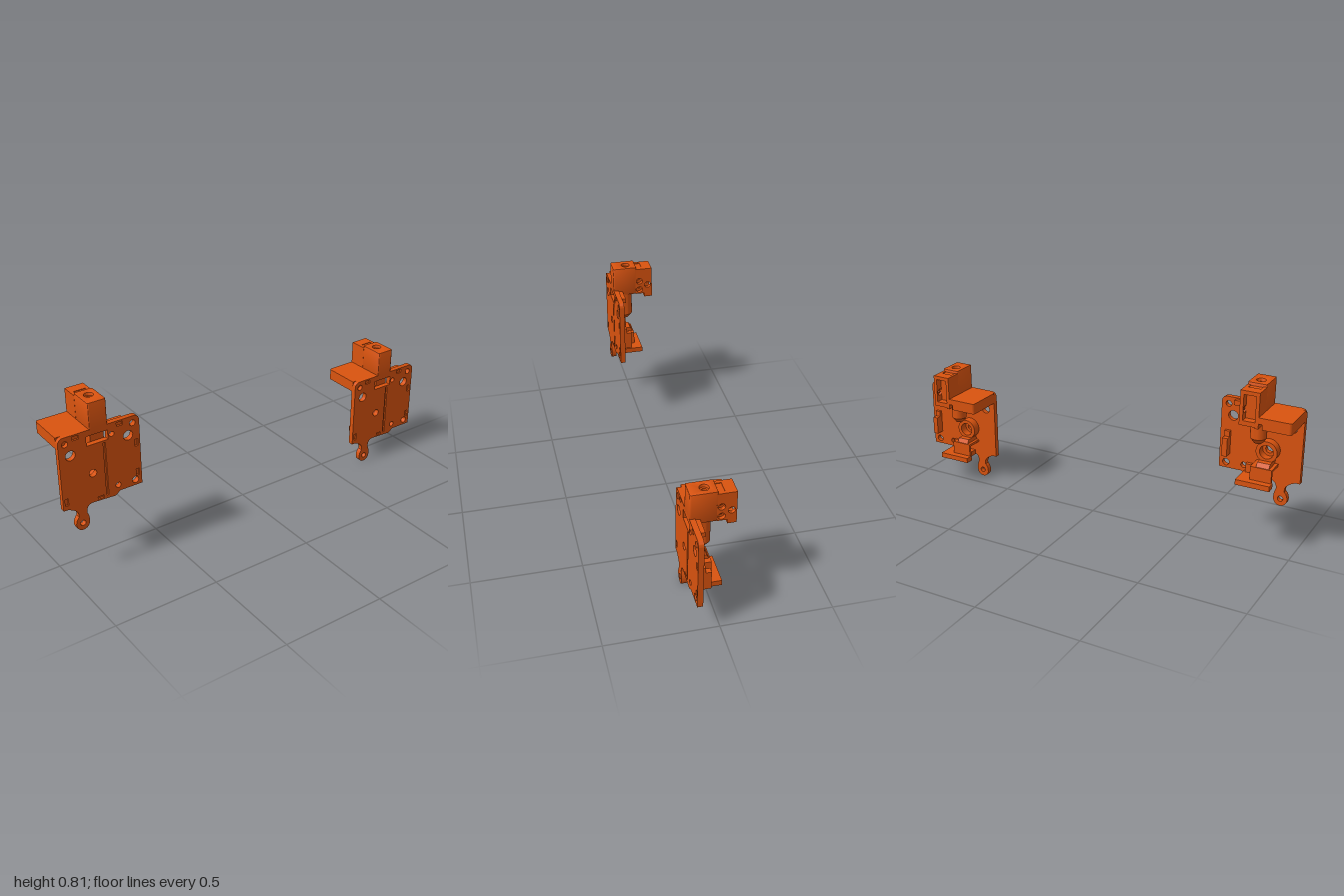
import * as THREE from 'three';
import { mergeVertices, toCreasedNormals } from 'three/addons/utils/BufferGeometryUtils.js';

const material = new THREE.MeshStandardMaterial({ color: 0xd9530f });

function add(group, name, geometry, x = 0, y = 0, z = 0) {
  const mesh = new THREE.Mesh(geometry, material);
  mesh.name = name;
  mesh.position.set(x, y, z);
  group.add(mesh);
  return mesh;
}

// box given by its limits
function box(group, name, x0, x1, y0, y1, z0, z1) {
  return add(group, name, new THREE.BoxGeometry(x1 - x0, y1 - y0, z1 - z0),
    (x0 + x1) / 2, (y0 + y1) / 2, (z0 + z1) / 2);
}

function trace(target, points) {
  target.setFromPoints(points.map(([x, y]) => new THREE.Vector2(x, y)));
  target.closePath();
  return target;
}
const circle = (x, y, r) => new THREE.Path().absarc(x, y, r, 0, Math.PI * 2, true);
const rect = (x0, x1, y0, y1) => trace(new THREE.Path(), [[x0, y0], [x0, y1], [x1, y1], [x1, y0]]);

function roundRect(x0, x1, y0, y1, r) {
  const s = new THREE.Shape();
  s.absarc(x1 - r, y0 + r, r, -Math.PI / 2, 0);
  s.absarc(x1 - r, y1 - r, r, 0, Math.PI / 2);
  s.absarc(x0 + r, y1 - r, r, Math.PI / 2, Math.PI);
  s.absarc(x0 + r, y0 + r, r, Math.PI, Math.PI * 1.5);
  s.closePath();
  return s;
}

function extrude(shape, depth, holes = [], bevel = 0) {
  shape.holes.push(...holes);
  const g = new THREE.ExtrudeGeometry(shape, {
    depth: depth - bevel * 2, curveSegments: 12, bevelEnabled: bevel > 0,
    bevelSize: bevel, bevelThickness: bevel, bevelOffset: -bevel, bevelSegments: 2,
  });
  g.translate(0, 0, bevel);
  return toCreasedNormals(g, 0.6);
}
// extrusion upward: the shape lies in (x, -z)
const extrudeUp = (...args) => extrude(...args).rotateX(-Math.PI / 2);
// extrusion along +x: the shape lies in (-z, y)
const extrudeSide = (...args) => extrude(...args).rotateY(Math.PI / 2);

function lathe(points, segments = 32) {
  const g = new THREE.LatheGeometry(points.map(([r, y]) => new THREE.Vector2(r, y)), segments);
  return toCreasedNormals(mergeVertices(g), 0.5);
}

function plateOutline() {
  const s = new THREE.Shape();
  s.moveTo(0, 0.125);
  s.lineTo(0.02, 0.125);
  s.quadraticCurveTo(0.075, 0.105, 0.068, 0.07);
  s.quadraticCurveTo(0.053, 0.055, 0.053, 0.032);
  s.absarc(0.085, 0.032, 0.032, Math.PI, Math.PI * 2);
  s.quadraticCurveTo(0.12, 0.055, 0.108, 0.08);
  s.quadraticCurveTo(0.108, 0.118, 0.14, 0.118);
  s.lineTo(0.25, 0.112);
  s.lineTo(0.275, 0.13);
  s.lineTo(0.385, 0.13);
  s.absarc(0.36, 0.448, 0.025, 0, Math.PI / 2);
  s.absarc(0.025, 0.448, 0.025, Math.PI / 2, Math.PI);
  s.closePath();
  return s;
}

function buildBracket() {
  const g = new THREE.Group();

  // mounting plate: a solid back layer and a front layer with pockets
  const through = () => [
    [0.032, 0.44, 0.014], [0.053, 0.38, 0.023], [0.15, 0.262, 0.018], [0.328, 0.387, 0.023],
    [0.352, 0.44, 0.014], [0.352, 0.157, 0.016], [0.267, 0.16, 0.013], [0.25, 0.42, 0.012],
    [0.085, 0.034, 0.013],
  ].map((h) => circle(...h)).concat(rect(0.13, 0.232, 0.4, 0.445));
  const pockets = [
    [0.066, 0.096, 0.447, 0.465], [0.275, 0.305, 0.447, 0.465], [0.358, 0.374, 0.322, 0.356],
    [0.358, 0.374, 0.176, 0.208], [0.01, 0.026, 0.146, 0.18], [0.207, 0.218, 0.13, 0.39],
    [0.165, 0.195, 0.124, 0.136],
  ].map((p) => rect(...p));
  add(g, 'plateBack', extrude(plateOutline(), 0.017, through()), 0, 0, 0.075);
  add(g, 'plateFront', extrude(plateOutline(), 0.008, through().concat(pockets)), 0, 0, 0.092);

  // rear shelf with a ribbed underside
  const shelf = new THREE.Shape();
  shelf.moveTo(0, -0.08);
  shelf.lineTo(0.13, -0.08);
  shelf.lineTo(0.13, 0.1);
  shelf.lineTo(0.012, 0.1);
  shelf.quadraticCurveTo(0, 0.1, 0, 0.088);
  shelf.closePath();
  const ribbed = shelf.clone();
  const grooves = [];
  for (let i = 0; i < 4; i++) grooves.push(rect(0.018, 0.115, -0.045 + i * 0.034, -0.023 + i * 0.034));
  add(g, 'shelf', extrudeUp(shelf, 0.028), 0, 0.445, 0);
  add(g, 'shelfRibs', extrudeUp(ribbed, 0.025, grooves), 0, 0.42, 0);
  box(g, 'shelfBridge', 0.13, 0.15, 0.445, 0.473, -0.1, 0.08);

  // tower front block with the tube opening
  add(g, 'towerBlock', extrudeUp(roundRect(0.147, 0.235, -0.1, 0.02, 0.008), 0.15,
    [circle(0.192, -0.03, 0.02)], 0.004), 0, 0.445, 0);
  add(g, 'tubeCollar', lathe([[0.012, 0], [0.021, 0], [0.021, 0.015], [0.012, 0.015], [0.012, 0]]),
    0.192, 0.565, 0.03);

  // tower rear housing with screw recesses on the outer wall
  const screws = [[0.035, 0.515], [0.035, 0.467], [0.078, 0.492]];
  const wall = () => trace(new THREE.Shape(), [[0.015, 0.42], [0.1, 0.42], [0.1, 0.583], [0.015, 0.583]]);
  add(g, 'screwWall', extrudeSide(trace(new THREE.Shape(),
    [[0.015, 0.445], [0.1, 0.445], [0.1, 0.583], [0.015, 0.583]]), 0.016,
  screws.map(([u, y]) => circle(u, y, 0.016))), 0.219, 0, 0);
  add(g, 'innerWall', extrudeSide(wall(), 0.016), 0.147, 0, 0);
  box(g, 'housingCore', 0.16, 0.221, 0.445, 0.58, -0.065, -0.015);
  box(g, 'housingRoof', 0.16, 0.221, 0.565, 0.583, -0.1, -0.05);
  box(g, 'housingFloor', 0.16, 0.235, 0.425, 0.447, -0.1, -0.06);
  for (const [u, y] of screws) {
    const head = lathe([[0, 0], [0.006, 0], [0.007, 0.008], [0.012, 0.008], [0.013, 0]], 20);
    add(g, 'screwHead', head.rotateZ(-Math.PI / 2), 0.221, y, -u);
  }

  // tapered guide tube below the tower
  add(g, 'guideTube', lathe([[0.012, 0.57], [0.012, 0.3], [0.018, 0.3], [0.037, 0.325],
    [0.037, 0.45], [0.02, 0.45]]), 0.192, 0, 0.037);
  box(g, 'tubeSupport', 0.16, 0.225, 0.39, 0.45, 0.05, 0.076);

  // ring boss around the centre hole
  add(g, 'ringBoss', extrude(new THREE.Shape().absarc(0.15, 0.262, 0.05, 0, Math.PI * 2), 0.042,
    [circle(0.15, 0.262, 0.032)]), 0, 0, 0.035);

  // foot tray and the open holder on it
  add(g, 'footTray', extrudeUp(trace(new THREE.Shape(), [[0.13, -0.08], [0.26, -0.08],
    [0.26, 0.04], [0.1, 0.04], [0.1, 0], [0.13, -0.02]]), 0.025), 0, 0.112, 0);
  box(g, 'holderRoof', 0.105, 0.205, 0.188, 0.2, -0.008, 0.077);
  box(g, 'holderBack', 0.105, 0.205, 0.135, 0.19, -0.008, 0.005);
  box(g, 'holderEnd', 0.19, 0.205, 0.135, 0.19, 0.004, 0.077);
  add(g, 'holderTab', extrudeSide(trace(new THREE.Shape(),
    [[-0.077, 0.2], [0.003, 0.2], [-0.008, 0.22], [-0.077, 0.22]]), 0.06), 0.12, 0, 0);
  box(g, 'trayStop', 0.225, 0.25, 0.135, 0.177, 0.056, 0.077);

  // clip block near the outer edge, and small retaining bosses
  box(g, 'sideClip', 0.335, 0.36, 0.2, 0.288, 0.035, 0.077);
  box(g, 'clipTop', 0.335, 0.36, 0.288, 0.315, 0.06, 0.077);
  box(g, 'topRail', 0.235, 0.32, 0.445, 0.468, 0.055, 0.077);
  return g;
}

export function createModel() {
  const model = new THREE.Group();
  // two identical brackets at different heights
  [[-1, 0.22], [0.615, 0]].forEach(([x, y], i) => {
    const bracket = buildBracket();
    bracket.name = i ? 'leftBracket' : 'rightBracket';
    bracket.position.set(x, y, 0);
    model.add(bracket);
  });
  return model;
}
